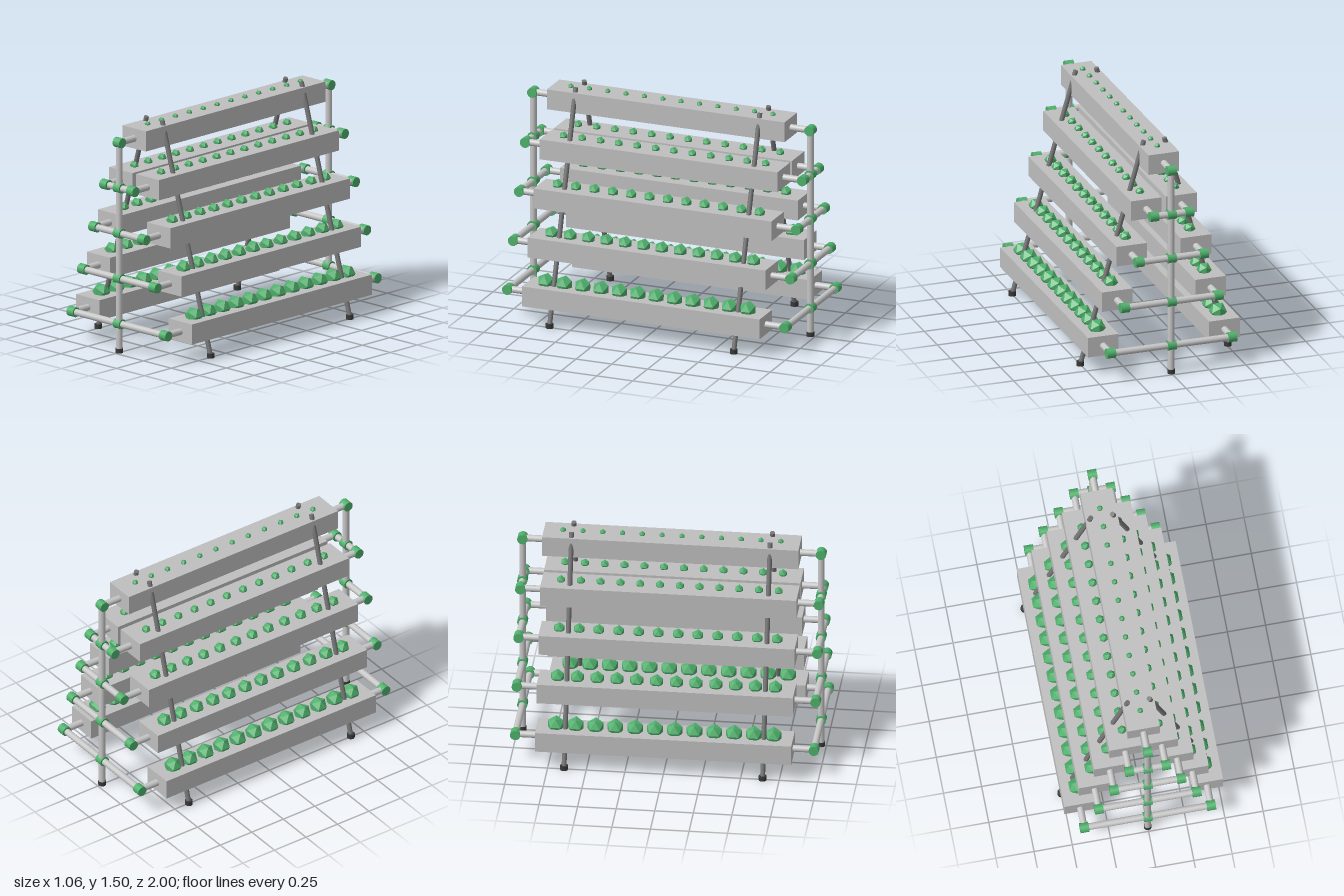
import * as THREE from 'three';

export function createModel() {
  const group = new THREE.Group();
  const material = (name, color, flatShading = false) => {
    const m = new THREE.MeshStandardMaterial({ color, flatShading });
    m.name = name;
    return m;
  };
  const troughGrey = material('trough grey', 0xbebebe);
  const pipeGrey = material('pipe grey', 0xc6c6c6);
  const frameGrey = material('frame grey', 0x757575);
  const rubberBlack = material('rubber black', 0x383838);
  const green = material('green', 0x4fb06c);
  const leafGreen = green;

  const add = (name, geometry, mat, x = 0, y = 0, z = 0) => {
    const mesh = new THREE.Mesh(geometry, mat);
    mesh.name = name;
    mesh.position.set(x, y, z);
    group.add(mesh);
    return mesh;
  };

  // Round bar between two points
  const up = new THREE.Vector3(0, 1, 0);
  const bar = (name, a, b, radius, mat) => {
    const from = new THREE.Vector3(...a), to = new THREE.Vector3(...b);
    const dir = to.clone().sub(from);
    const mid = from.clone().add(to).multiplyScalar(0.5);
    const mesh = add(name, new THREE.CylinderGeometry(radius, radius, dir.length(), 20), mat, mid.x, mid.y, mid.z);
    mesh.quaternion.setFromUnitVectors(up, dir.normalize());
  };

  const endZ = 0.967, legZ = 0.643, pipeR = 0.022;
  const troughGeo = new THREE.BoxGeometry(0.21, 0.135, 1.66);
  const fittingGeo = new THREE.CylinderGeometry(0.033, 0.033, 0.058, 24).rotateZ(Math.PI / 2);
  const footGeo = new THREE.CylinderGeometry(0.025, 0.025, 0.03, 20);
  const tierX = [0.415, 0.32, 0.22, 0.12, 0];

  tierX.forEach((offset, i) => {
    const y = 0.194 + 0.3025 * i;
    const xs = offset ? [-offset, offset] : [0];

    // Planting troughs with a row of plants that shrink toward the top
    const plantR = 0.06 - 0.01 * i;
    const plantGeo = new THREE.IcosahedronGeometry(plantR, 0);
    for (const x of xs) {
      add('trough', troughGeo, troughGrey, x, y, 0);
      for (let k = 0; k < 12; k++) {
        add('plant', plantGeo, leafGreen, x, y + 0.0675 + 0.25 * plantR, -0.705 + k * 1.41 / 11);
      }
    }

    // Water pipes and fittings at both ends
    for (const s of [-1, 1]) {
      for (const x of xs) {
        bar('outletPipe', [x, y, s * 0.8], [x, y, s * endZ], pipeR, pipeGrey);
        add('endFitting', fittingGeo, green, x, y, s * endZ);
      }
      if (offset) {
        bar('crossPipe', [-offset, y, s * endZ], [offset, y, s * endZ], pipeR, pipeGrey);
        add('centreFitting', fittingGeo, green, 0, y, s * endZ);
      }
    }
  });

  for (const s of [-1, 1]) {
    // Upright supply pipe
    bar('uprightPipe', [0, 0.01, s * endZ], [0, 1.404, s * endZ], pipeR, pipeGrey);
    add('uprightFoot', footGeo, rubberBlack, 0, 0.015, s * endZ);
    // Leaning frame legs
    for (const m of [-1, 1]) {
      bar('frameLeg', [m * 0.505, 0.01, s * legZ], [m * 0.07, 1.5, s * legZ], 0.016, frameGrey);
      add('legFoot', footGeo, rubberBlack, m * 0.505, 0.015, s * legZ);
    }
  }
  return group;
}
